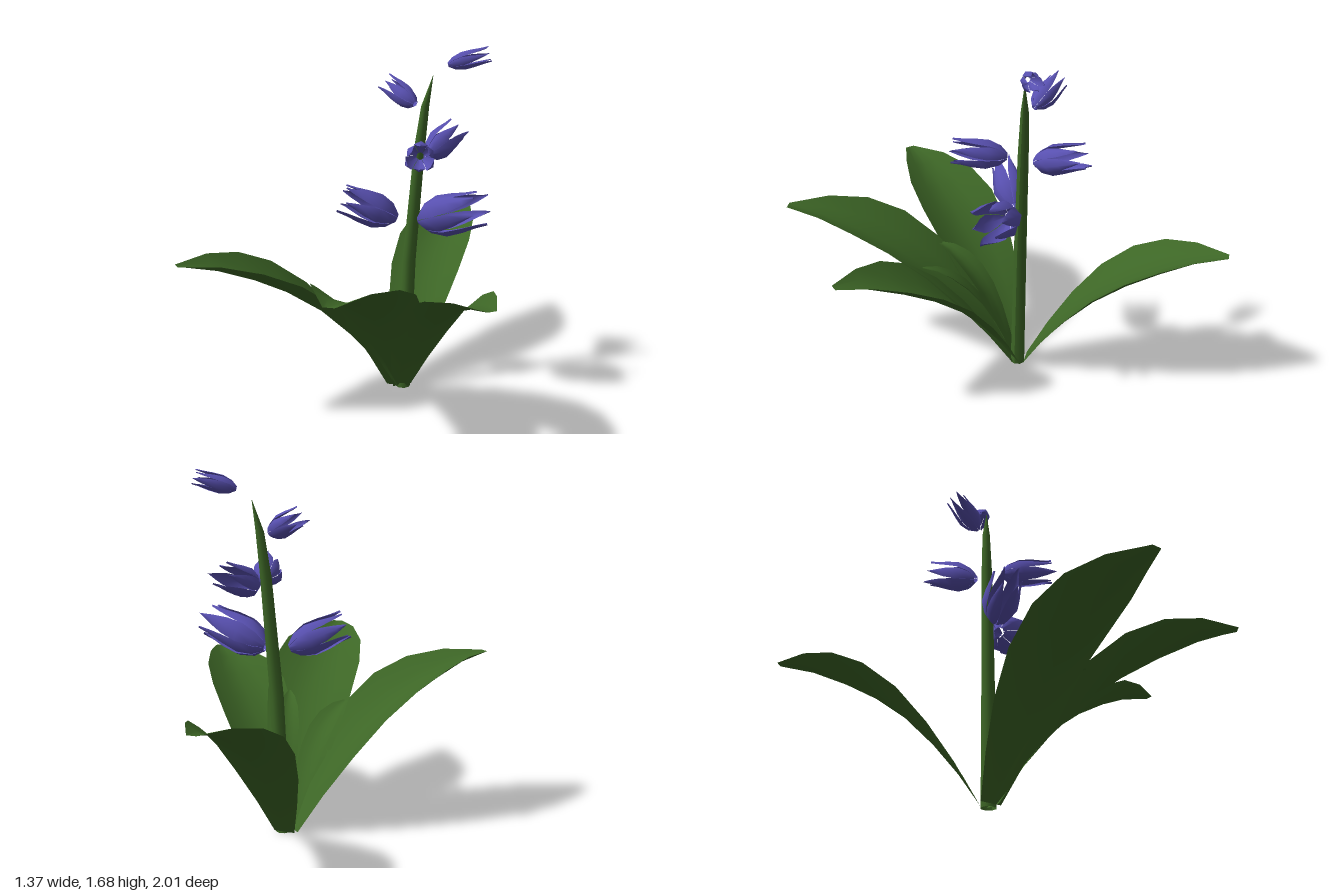
import * as THREE from 'three';

const green = new THREE.MeshStandardMaterial({ color: 0x3d6626, side: THREE.DoubleSide });
const violet = new THREE.MeshStandardMaterial({ color: 0x5850b0, side: THREE.DoubleSide });
const V = (x, y, z) => new THREE.Vector3(x, y, z);

// Surface through rows of points, all rows of equal length
function loft(rows) {
  const n = rows[0].length, index = [];
  for (let i = 0; i < rows.length - 1; i++)
    for (let j = 0; j < n - 1; j++) {
      const a = i * n + j, b = a + n;
      index.push(a, a + 1, b, a + 1, b + 1, b);
    }
  const geo = new THREE.BufferGeometry().setFromPoints(rows.flat());
  geo.setIndex(index);
  geo.computeVertexNormals();
  return geo;
}

// Arching channelled leaf from the clump to its tip: [run, rise, half width]
const LEAF = [[0, 0, 0.05], [0.1, 0.21, 0.1], [0.22, 0.42, 0.15], [0.36, 0.62, 0.185],
  [0.52, 0.78, 0.195], [0.68, 0.89, 0.17], [0.84, 0.965, 0.105], [1, 1, 0.022]];
function leaf(name, tip, widthScale = 1) {
  const root = V(-0.15, 0.01, -0.05);
  const run = V(tip.x - root.x, 0, tip.z - root.z);
  const length = run.length();
  const dir = run.clone().normalize();
  root.addScaledVector(dir, 0.03);
  run.addScaledVector(dir, -0.03);
  const side = V(dir.z, 0, -dir.x);
  const rows = LEAF.map(([t, h, w]) => [-1, -0.5, 0, 0.5, 1].map(u => {
    const lift = (u * u - 0.35) * 0.085 * length * Math.sin(Math.PI * t) * widthScale;
    return root.clone().addScaledVector(run, t)
      .addScaledVector(side, u * w * length * widthScale)
      .setY(root.y + h * (tip.y - root.y) + lift);
  }));
  const mesh = new THREE.Mesh(loft(rows), green);
  mesh.name = name;
  return mesh;
}

// Leaning stem with a pointed top
function stem() {
  const path = [[-0.13, 0, -0.05, 0.036], [-0.105, 0.65, -0.07, 0.032], [-0.065, 1.2, -0.1, 0.026],
    [-0.043, 1.4, -0.115, 0.019], [-0.01, 1.54, -0.13, 0.001]];
  const rows = path.map(([x, y, z, r]) => Array.from({ length: 9 }, (_, i) => {
    const a = -(i % 8) * Math.PI / 4;
    return V(x + r * Math.cos(a), y, z + r * Math.sin(a));
  }));
  const mesh = new THREE.Mesh(loft(rows), green);
  mesh.name = 'stem';
  return mesh;
}

// Pointed petal of a unit-high bell: [height, radius, half angle]
const PETAL = [[0, 0.25, 0.5], [0.14, 0.72, 0.5], [0.36, 1, 0.52], [0.6, 0.97, 0.44],
  [0.82, 0.88, 0.25], [1, 0.85, 0.02]];
function petal(angle, reach, flare) {
  const rows = PETAL.map(([h, r, w]) => [-1, 0, 1].map(u => {
    const a = angle + u * w;
    const rad = r * (1 + flare * h) * (u ? 0.88 : 1);
    return V(rad * Math.cos(a), h * reach, rad * Math.sin(a));
  }));
  return new THREE.Mesh(loft(rows), violet);
}

// Bell of three outer and three inner petals
function flower(base, tip, radius) {
  const group = new THREE.Group();
  group.name = 'flower';
  const axis = tip.clone().sub(base);
  for (let i = 0; i < 6; i++) {
    const outer = i % 2 === 0;
    const p = petal(i * Math.PI / 3, outer ? 1 : 0.9 + 0.02 * i, outer ? 0.08 : -0.15);
    p.name = outer ? 'outerPetal' : 'innerPetal';
    group.add(p);
  }
  group.position.copy(base);
  group.scale.set(radius, axis.length(), radius);
  group.quaternion.setFromUnitVectors(V(0, 1, 0), axis.normalize());
  return group;
}

export function createModel() {
  const model = new THREE.Group();
  model.name = 'floweringPlant';
  model.add(
    stem(),
    leaf('backLeaf', V(-0.4, 0.72, -1)),
    leaf('frontRightLeaf', V(-0.67, 0.78, 0.89)),
    leaf('frontLeaf', V(0.27, 0.82, 1)),
    leaf('leftLeaf', V(0.67, 0.72, 0.46)),
    leaf('smallLeftLeaf', V(0.12, 0.57, 0.34), 0.55),
    leaf('smallRightLeaf', V(-0.17, 0.55, 0.42), 0.75)
  );
  // Flowers spiralling up the stem: base, tip, radius
  const flowers = [
    [V(-0.14, 0.87, -0.02), V(-0.34, 0.98, 0.14), 0.085],
    [V(-0.03, 0.87, -0.05), V(0.29, 0.98, -0.09), 0.1],
    [V(-0.02, 1.18, -0.04), V(0.12, 1.22, 0.17), 0.072],
    [V(-0.06, 1.16, -0.16), V(-0.05, 1.24, -0.41), 0.072],
    [V(-0.11, 1.4, -0.13), V(-0.3, 1.48, -0.16), 0.055],
    [V(0.045, 1.59, -0.17), V(0.2, 1.64, -0.28), 0.045]
  ];
  for (const [base, tip, radius] of flowers) model.add(flower(base, tip, radius));
  return model;
}
